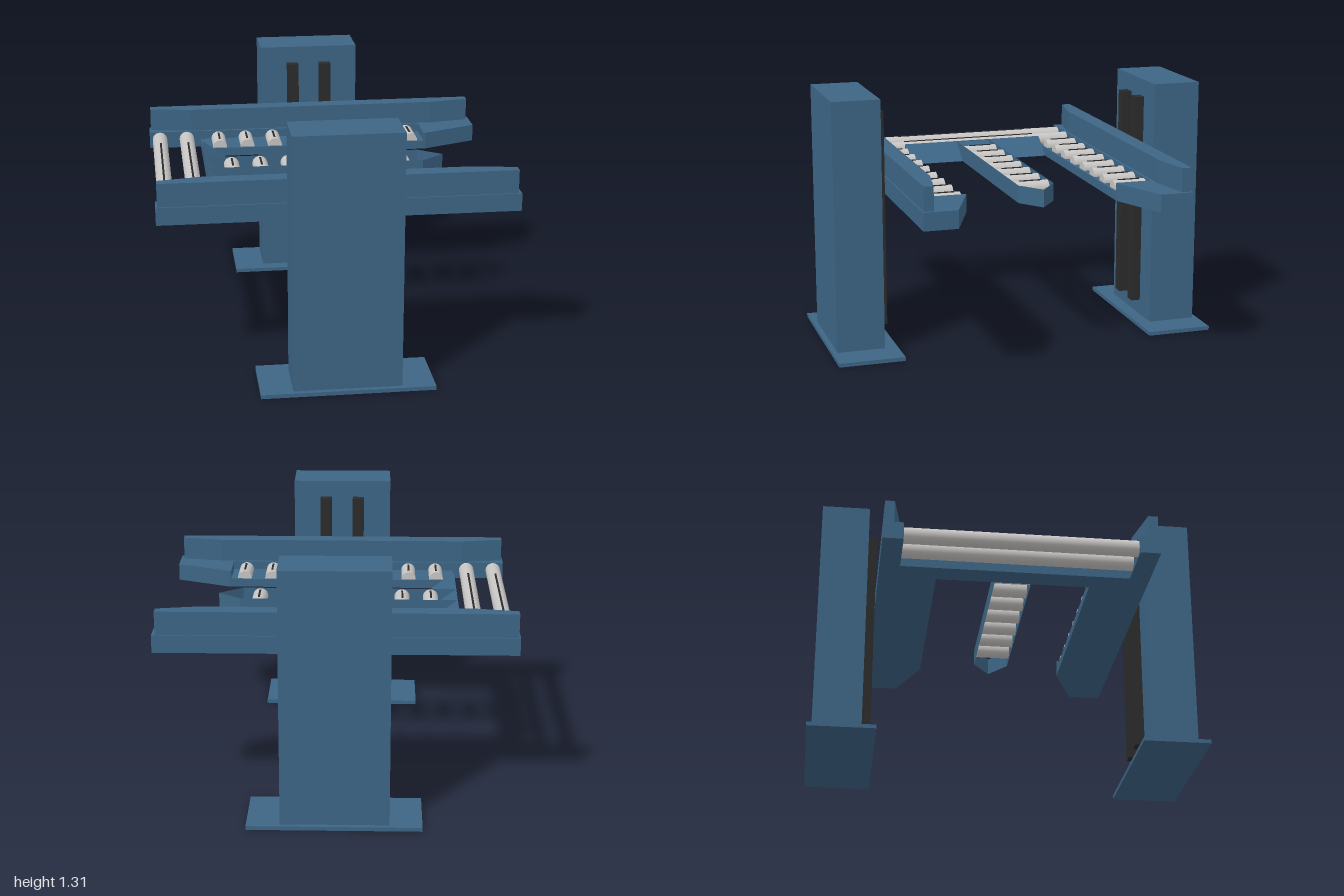
import * as THREE from 'three';

const mat = (name, color, side = THREE.FrontSide) => {
  const m = new THREE.MeshStandardMaterial({ color, side });
  m.name = name;
  return m;
};

export function createModel() {
  const model = new THREE.Group();
  model.name = 'rollerLift';
  const blue = mat('bluePaint', 0x3d6585);
  blue.side = THREE.DoubleSide; // the centre arm is an open frame of thin walls
  const steel = mat('rollerSteel', 0xc8c6c4);
  const black = mat('blackRail', 0x2b2b2b);

  const add = (name, geometry, material, parent = model) => {
    const mesh = new THREE.Mesh(geometry, material);
    mesh.name = name;
    parent.add(mesh);
    return mesh;
  };

  // Box given by its minimum and maximum on each axis
  const box = (name, material, [x0, x1], [y0, y1], [z0, z1]) => {
    const g = new THREE.BoxGeometry(x1 - x0, y1 - y0, Math.abs(z1 - z0));
    g.translate((x0 + x1) / 2, (y0 + y1) / 2, (z0 + z1) / 2);
    return add(name, g, material);
  };

  // Plan outline in x and z, raised from y0 to y1; s mirrors it across z = 0
  const slab = (name, points, y0, y1, s) => {
    const shape = new THREE.Shape(points.map(([x, z]) => new THREE.Vector2(x, -z * s)));
    const g = new THREE.ExtrudeGeometry(shape, { depth: y1 - y0, bevelEnabled: false });
    g.rotateX(-Math.PI / 2).translate(0, y0, 0);
    return add(name, g, blue);
  };

  // Roller lying along z with a dark slot line on top
  const roller = (name, x, z, length, radius) => {
    const group = new THREE.Group();
    group.name = name;
    group.position.set(x, 0.843, z);
    const g = new THREE.CylinderGeometry(radius, radius, length, 24).rotateX(Math.PI / 2);
    add('rollerBarrel', g, steel, group);
    const slot = new THREE.BoxGeometry(0.01, 0.006, length * 0.65).translate(0, radius, 0);
    add('rollerSlot', slot, black, group);
    model.add(group);
  };

  const BOTTOM = 0.795, FLOOR = 0.84, TOP = 0.885;

  for (const s of [1, -1]) {
    // Foot plate, column and guide rails
    box('basePlate', blue, [-0.43, 0.43], [0, 0.02], [0.66 * s, s]);
    box('column', blue, [-0.27, 0.265], [0.02, 1.31], [0.728 * s, 0.975 * s]);
    for (const x of [-0.092, 0.088])
      box('guideRail', black, [x - 0.031, x + 0.031], [0.1, 1.22], [0.68 * s, 0.728 * s]);

    // Side platform: full lower slab, upper slab leaves the roller recess open
    slab('sidePlatformBase', [[-0.9, 0.68], [0.9, 0.68], [0.9, 0.51], [0.61, 0.39],
      [-0.62, 0.39], [-0.62, 0.578], [-0.9, 0.578]], BOTTOM, FLOOR, s);
    slab('sidePlatformTop', [[-0.9, 0.68], [0.9, 0.68], [0.9, 0.51], [0.61, 0.39],
      [0.6, 0.39], [0.6, 0.573], [-0.62, 0.573], [-0.62, 0.578], [-0.9, 0.578]], FLOOR, TOP, s);

    // Guide fence with tapered ends
    slab('guideFence', [[-0.892, 0.673], [0.883, 0.673], [0.883, 0.625], [0.67, 0.587],
      [-0.67, 0.587], [-0.892, 0.625]], TOP, 1.005, s);

    for (let i = 0; i < 8; i++) roller('sideRoller', -0.523 + i * 0.15, 0.485 * s, 0.17, 0.038);
  }

  // Sloped cross beam joining the two platforms
  const wedge = new THREE.Shape([[-0.62, BOTTOM], [-0.5, BOTTOM], [-0.62, TOP]]
    .map(([x, y]) => new THREE.Vector2(x, y)));
  const beam = new THREE.ExtrudeGeometry(wedge, { depth: 0.78, bevelEnabled: false });
  add('crossBeam', beam.translate(0, 0, -0.39), blue);

  // Centre arm: open thin-walled frame with a pointed tip
  const outline = [[-0.615, 0.092], [0.51, 0.092], [0.63, 0], [0.51, -0.092], [-0.615, -0.092]];
  const positions = [];
  outline.forEach(([x0, z0], i) => {
    const [x1, z1] = outline[(i + 1) % outline.length];
    positions.push(x0, BOTTOM, z0, x1, BOTTOM, z1, x1, TOP, z1,
      x0, BOTTOM, z0, x1, TOP, z1, x0, TOP, z0);
  });
  const walls = new THREE.BufferGeometry();
  walls.setAttribute('position', new THREE.Float32BufferAttribute(positions, 3));
  walls.computeVertexNormals();
  add('centreArmWalls', walls, blue);
  for (let i = 0; i < 7; i++) roller('centreRoller', -0.483 + i * 0.15, 0, 0.18, 0.04);

  // Long rollers across the loading end
  for (const x of [-0.845, -0.697]) roller('longRoller', x, 0, 1.156, 0.04);

  return model;
}
